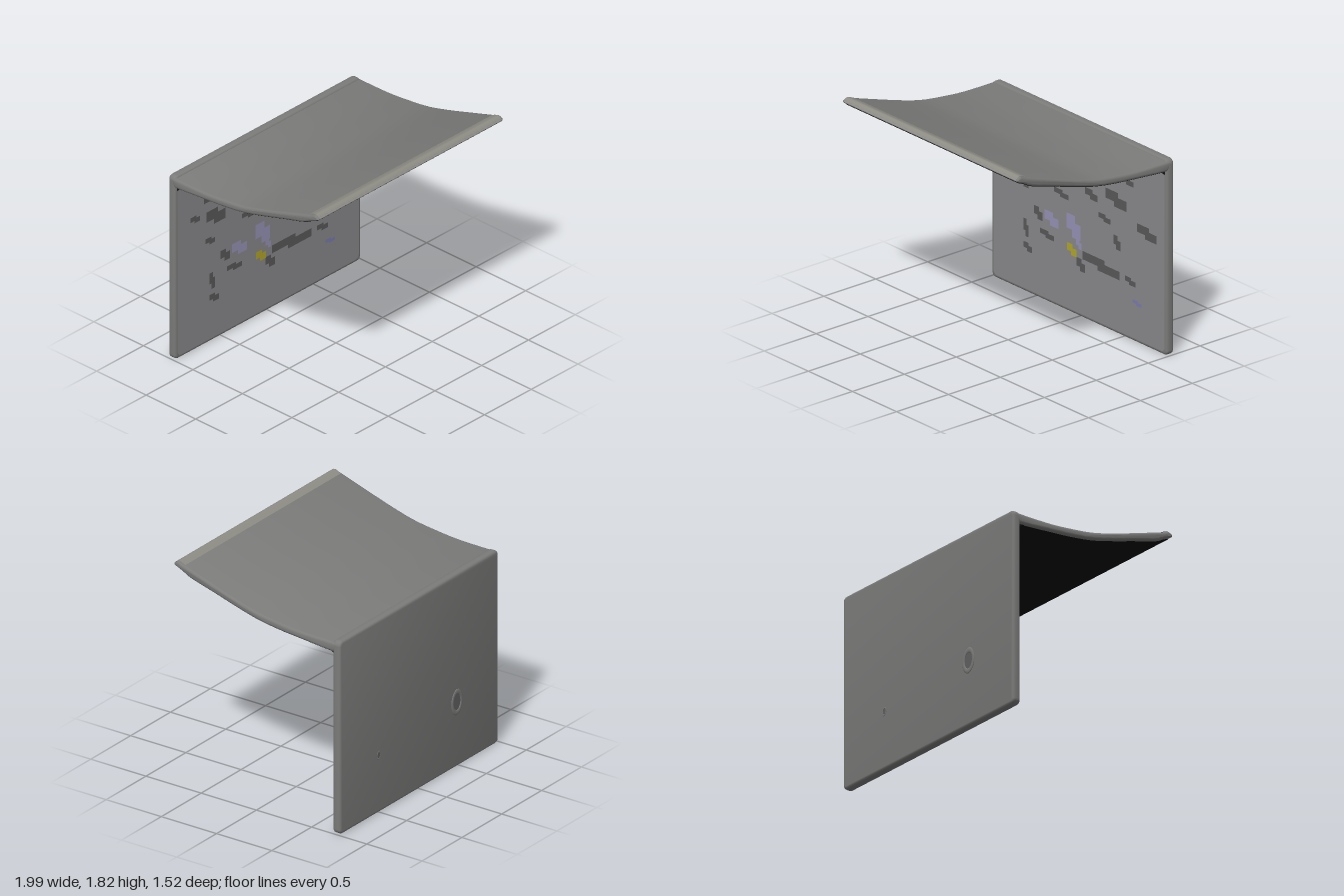
import * as THREE from 'three';
import { mergeGeometries, toCreasedNormals } from 'three/addons/utils/BufferGeometryUtils.js';

const WIDTH = 1.99;
const BEVEL = 0.02;

const solid = (color) => new THREE.MeshStandardMaterial({ color });
const thin = (color) => new THREE.MeshStandardMaterial({ color, side: THREE.DoubleSide });
const grey = solid(0x7c7c7b);
const black = 0x070707;

function addMesh(parent, name, geometry, material) {
  const mesh = new THREE.Mesh(geometry, material);
  mesh.name = name;
  parent.add(mesh);
  return mesh;
}

// Extrusion centred on its depth, with softly rounded edges inside the outline
function softExtrude(shape, depth, curveSegments) {
  const g = new THREE.ExtrudeGeometry(shape, {
    depth: depth - 2 * BEVEL, curveSegments, bevelEnabled: true,
    bevelThickness: BEVEL, bevelSize: BEVEL, bevelOffset: -BEVEL, bevelSegments: 3,
  });
  g.translate(0, 0, -(depth - 2 * BEVEL) / 2);
  return toCreasedNormals(g, 0.7);
}

function roundedRect(w, y0, y1, r) {
  const s = new THREE.Shape(), h = w / 2;
  s.absarc(h - r, y0 + r, r, -Math.PI / 2, 0);
  s.absarc(h - r, y1 - r, r, 0, Math.PI / 2);
  s.absarc(-h + r, y1 - r, r, Math.PI / 2, Math.PI);
  s.absarc(-h + r, y0 + r, r, Math.PI, Math.PI * 1.5);
  return s;
}

// Thin sheet across the width that follows a (z, y) curve
function ribbon(curvePoints, width, lift) {
  const curve = new THREE.SplineCurve(curvePoints);
  const g = new THREE.PlaneGeometry(width, 1, 1, 32);
  const pos = g.attributes.position;
  for (let i = 0; i < pos.count; i++) {
    const p = curve.getPoint(pos.getY(i) + 0.5);
    pos.setXYZ(i, pos.getX(i), p.y + lift, p.x);
  }
  g.computeVertexNormals();
  return g;
}

// Stepped blotches: each entry [x, y, w, h] becomes three staggered strips
function blotches(list) {
  return mergeGeometries(list.flatMap(([x, y, w, h]) => [-1, 0, 1].map((k) => {
    const g = new THREE.PlaneGeometry(w * (k ? 0.6 : 1), h / 3);
    return g.translate(x - k * w * 0.2, y + k * h / 3, 0);
  })));
}

const points = (list) => list.map(([z, y]) => new THREE.Vector2(z, y));

export function createModel() {
  const model = new THREE.Group();

  // Upright panel
  const wall = addMesh(model, 'backPanel', softExtrude(roundedRect(WIDTH, 0.005, 1.568, 0.04), 0.07, 6), grey);
  wall.position.z = -0.72;

  // Curved canopy: side profile as (z, y), swept across the width
  const under = points([[-0.69, 1.475], [-0.6, 1.48], [-0.4, 1.497], [-0.2, 1.515],
    [0, 1.545], [0.2, 1.597], [0.4, 1.656], [0.6, 1.713], [0.68, 1.752], [0.735, 1.775]]);
  const upper = points([[0.757, 1.795], [0.72, 1.82], [0.66, 1.8], [0.4, 1.717],
    [0.2, 1.655], [0, 1.603], [-0.2, 1.575], [-0.4, 1.557], [-0.66, 1.553], [-0.73, 1.555]]);
  const profile = new THREE.Shape();
  profile.moveTo(-0.73, 1.5);
  profile.lineTo(-0.69, 1.475);
  profile.splineThru(under.slice(1));
  profile.splineThru(upper);
  profile.closePath();
  const canopy = addMesh(model, 'canopy', softExtrude(profile, WIDTH, 4), grey);
  canopy.rotation.y = -Math.PI / 2;

  // Rounded fillet in the inner corner
  const filletShape = new THREE.Shape();
  filletShape.moveTo(-0.7, 1.5);
  filletShape.lineTo(-0.7, 1.445);
  filletShape.lineTo(-0.685, 1.445);
  filletShape.quadraticCurveTo(-0.68, 1.472, -0.64, 1.476);
  filletShape.lineTo(-0.64, 1.5);
  const fillet = new THREE.ExtrudeGeometry(filletShape, { depth: 1.95, bevelEnabled: false, curveSegments: 6 });
  fillet.translate(0, 0, -0.975);
  addMesh(model, 'cornerFillet', fillet, solid(0x1c1c1c)).rotation.y = -Math.PI / 2;

  // Black lining under the canopy, paler strip along its front lip
  addMesh(model, 'canopyLining', ribbon(under, 1.95, -0.004), thin(black));
  addMesh(model, 'lipStrip', ribbon(upper.slice(0, 3), 1.95, 0.003), thin(0x8e8d85));

  // Paler front face of the panel
  addMesh(model, 'panelFace', new THREE.ShapeGeometry(roundedRect(1.94, 0.03, 1.46, 0.04), 6), thin(0x8a8a8e))
    .position.z = -0.6835;

  // Weathered marks on the front face
  const marks = [
    ['darkMarks', 0x5a5a5a, [
      [-0.27, 1.29, 0.24, 0.09], [-0.52, 1.22, 0.34, 0.07], [-0.56, 1.06, 0.2, 0.13],
      [-0.78, 1.12, 0.1, 0.06], [-0.25, 1.12, 0.14, 0.06], [0.08, 1.24, 0.12, 0.08],
      [0.42, 1.07, 0.24, 0.12], [0.55, 1.26, 0.14, 0.06], [0.14, 1.02, 0.14, 0.08],
      [0.29, 0.88, 0.14, 0.06], [0.77, 0.91, 0.22, 0.1], [-0.62, 0.87, 0.1, 0.06],
      [-0.2, 0.92, 0.16, 0.06], [0.43, 0.73, 0.08, 0.11], [-0.46, 0.68, 0.1, 0.1],
      [0.25, 0.49, 0.42, 0.1], [0.02, 0.42, 0.1, 0.1], [0.58, 0.47, 0.12, 0.06],
      [-0.6, 0.52, 0.06, 0.14], [-0.36, 0.54, 0.16, 0.06], [-0.58, 0.37, 0.1, 0.07]]],
    ['lilacMarks', 0x9894b8, [[-0.31, 0.68, 0.16, 0.11], [-0.06, 0.7, 0.16, 0.18], [0.0, 0.58, 0.06, 0.08]]],
    ['yellowMark', 0xb4a828, [[-0.08, 0.51, 0.11, 0.09]]],
    ['blueMark', 0x7c7cb0, [[0.66, 0.32, 0.1, 0.04]]],
  ];
  marks.forEach(([name, color, list], i) => {
    addMesh(model, name, blotches(list), thin(color)).position.z = -0.6825 + i * 0.0005;
  });

  // Shallow dents on the back: raised rim around a darker hollow
  for (const [x, y, r] of [[-0.47, 0.53, 0.07], [0.51, 0.47, 0.025]]) {
    const dent = new THREE.Group();
    dent.name = 'backDent';
    dent.position.set(x, y, -0.7555);
    dent.scale.set(0.8, 1.2, 0.3);
    dent.rotation.y = Math.PI;
    addMesh(dent, 'dentRim', new THREE.TorusGeometry(r, r * 0.25, 8, 20), grey);
    addMesh(dent, 'dentHollow', new THREE.CircleGeometry(r, 20), thin(0x626262));
    model.add(dent);
  }

  return model;
}
